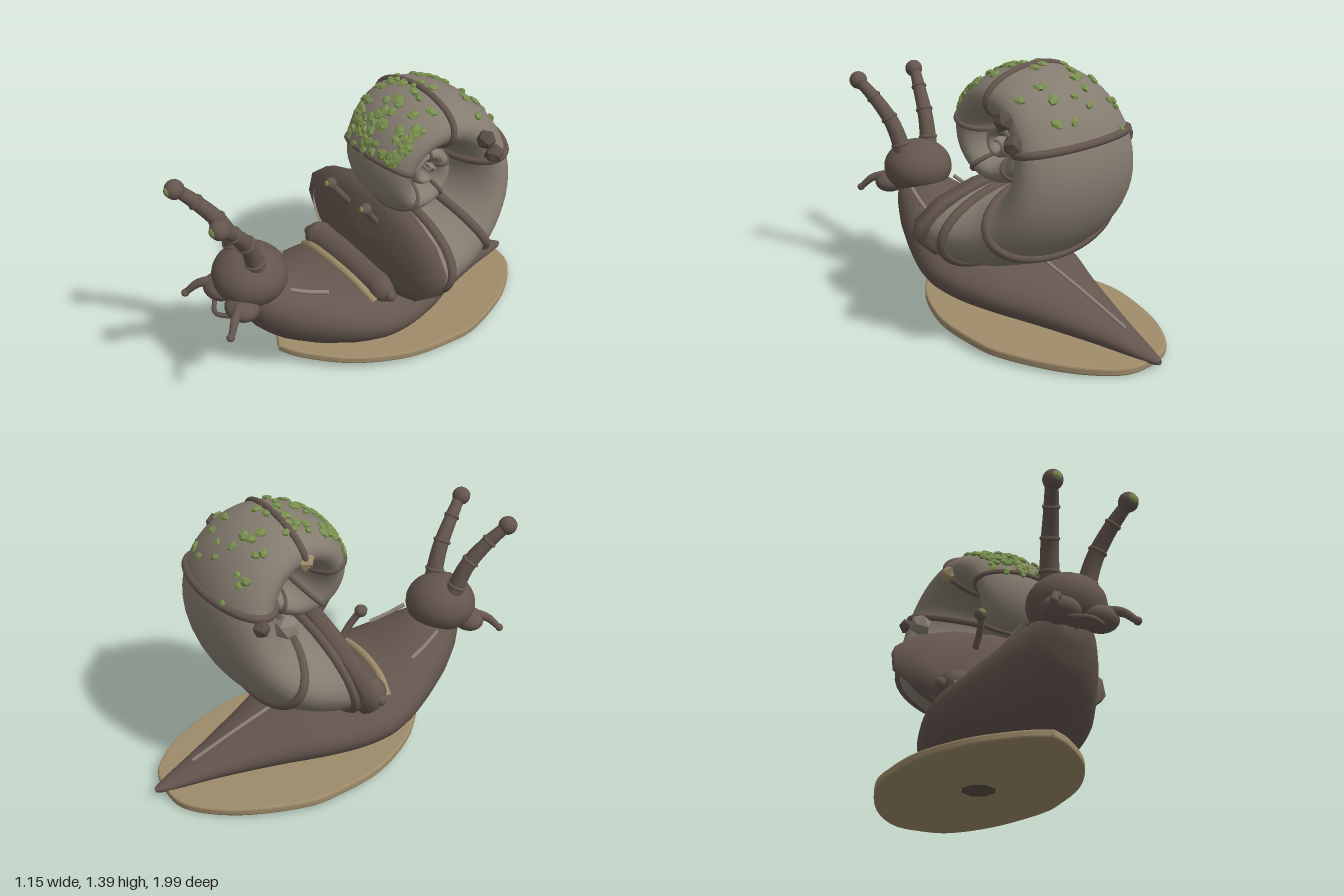
import * as THREE from 'three';
import { mergeGeometries } from 'three/addons/utils/BufferGeometryUtils.js';

const V = (x, y, z) => new THREE.Vector3(x, y, z);
const AX = -0.04; // x of the body's own centre line

// Smooth surface from rings; the ring direction is closed
function loft(fn, nu, nv) {
  const pos = [], idx = [];
  for (let i = 0; i <= nu; i++)
    for (let j = 0; j < nv; j++) {
      const p = fn(i / nu, (j / nv) * Math.PI * 2);
      pos.push(p.x, p.y, p.z);
      if (i === nu) continue;
      const k = (j + 1) % nv, a = i * nv + j, b = a + nv, c = i * nv + k, d = c + nv;
      idx.push(a, b, c, b, d, c);
    }
  const g = new THREE.BufferGeometry();
  g.setAttribute('position', new THREE.Float32BufferAttribute(pos, 3));
  g.setIndex(idx);
  g.computeVertexNormals();
  return g;
}

// Spiral shell surface: t counts quarter turns from the bottom, a goes round the section
function shellPoint(t, a) {
  const R = 0.64 * Math.pow(0.76, t), phi = t * Math.PI / 2;
  const r = R * (0.665 + 0.335 * Math.cos(a));
  return V(0.02 + 0.02 * t + 0.76 * R * Math.sin(a), 1.01 - r * Math.cos(phi), -0.19 - r * Math.sin(phi));
}
function shellNormal(t, a) {
  const e = 0.01, p = shellPoint(t, a);
  return shellPoint(t + e, a).sub(p).cross(shellPoint(t, a + e).sub(p)).normalize();
}

export function createModel() {
  const model = new THREE.Group();
  model.name = 'snail';
  const mat = (name, color, side = THREE.FrontSide) => {
    const m = new THREE.MeshStandardMaterial({ color, side });
    m.name = name;
    return m;
  };
  const skin = mat('brown skin', 0x64564e);
  const shellMat = mat('grey shell', 0x857c70, THREE.DoubleSide);
  const tan = mat('tan sole', 0x9e8b6a);
  const moss = mat('moss green', 0x7a9050);
  const stone = mat('dark stone', 0x5b4e47);
  const pale = mat('pale line', 0x8c8177);

  const add = (name, geo, m, x = 0, y = 0, z = 0) => {
    const o = new THREE.Mesh(geo, m);
    o.name = name;
    o.position.set(x, y, z);
    model.add(o);
    return o;
  };
  const ball = (name, m, r, x, y, z, sx = 1, sy = 1, sz = 1) => {
    const o = add(name, new THREE.SphereGeometry(r, 24, 16), m, x, y, z);
    o.scale.set(sx, sy, sz);
    return o;
  };
  const tube = (name, m, pts, r, seg = 24, closed = false) =>
    add(name, new THREE.TubeGeometry(new THREE.CatmullRomCurve3(pts, closed), seg, r, 8, closed), m);
  // Round tube whose radius runs from r0 to r1
  const taper = (name, m, curve, r0, r1) => {
    const fr = curve.computeFrenetFrames(16);
    add(name, loft((u, v) => {
      const i = Math.round(u * 16), r = r0 + (r1 - r0) * u;
      return curve.getPoint(u)
        .addScaledVector(fr.normals[i], -r * Math.cos(v))
        .addScaledVector(fr.binormals[i], r * Math.sin(v));
    }, 16, 12), m).material.side = THREE.DoubleSide;
  };

  // Body: z, top, bottom, half width
  const rows = [
    [-1.0, 0.065, 0.04, 0.012], [-0.97, 0.08, 0.035, 0.03], [-0.7, 0.19, 0.045, 0.12],
    [-0.4, 0.305, 0.055, 0.24], [-0.2, 0.37, 0.07, 0.34], [0, 0.42, 0.08, 0.4],
    [0.15, 0.46, 0.09, 0.41], [0.3, 0.5, 0.11, 0.37], [0.45, 0.56, 0.15, 0.3],
    [0.6, 0.61, 0.23, 0.22], [0.7, 0.63, 0.33, 0.15], [0.76, 0.6, 0.45, 0.08], [0.77, 0.54, 0.5, 0.01]];
  const edge = new THREE.CatmullRomCurve3(rows.map(r => V(r[1], r[2], r[3])));
  const axis = new THREE.CatmullRomCurve3(rows.map(r => V(0, 0, r[0])));
  add('body', loft((u, v) => {
    const e = edge.getPoint(u);
    return V(AX + e.z * Math.cos(v), (e.x + e.y) / 2 - (e.x - e.y) / 2 * Math.sin(v), axis.getPoint(u).z);
  }, 48, 32), skin);
  tube('tailRidge', pale, [V(AX, 0.355, -0.27), V(AX, 0.265, -0.52), V(AX, 0.158, -0.79)], 0.01);

  // Sole: egg outline with a pointed front, slightly raised at the front
  const half = [[0.12, 0.48], [0.3, 0.3], [0.43, 0.05], [0.47, -0.2], [0.46, -0.4], [0.34, -0.7], [0.17, -0.9]];
  const outline = new THREE.Shape();
  outline.moveTo(0, -0.55);
  outline.splineThru([...half.map(p => new THREE.Vector2(p[0], -p[1])), new THREE.Vector2(0, 0.94),
    ...half.slice().reverse().map(p => new THREE.Vector2(-p[0], -p[1])), new THREE.Vector2(0, -0.55)]);
  const soleGeo = new THREE.ExtrudeGeometry(outline, {
    depth: 0.022, bevelThickness: 0.01, bevelSize: 0.01, bevelSegments: 2, curveSegments: 64 });
  soleGeo.rotateX(-Math.PI / 2);
  add('sole', soleGeo, tan, AX, 0.053, 0).rotation.x = -0.033;
  const pad = add('solePad', new THREE.CylinderGeometry(0.09, 0.09, 0.004, 8), stone, AX, 0.035, -0.2);
  pad.rotation.x = -0.033;

  // Head and face
  ball('head', skin, 1, AX, 0.645, 0.695, 0.19, 0.15, 0.185);
  tube('mouth', skin, [V(AX - 0.09, 0.51, 0.85), V(AX, 0.5, 0.9), V(AX + 0.09, 0.51, 0.85)], 0.012);
  for (const s of [-1, 1]) {
    const X = d => AX + s * d;
    ball('cheek', skin, 1, X(0.1), 0.555, 0.81, 0.095, 0.06, 0.08);
    taper('feeler', skin, new THREE.CatmullRomCurve3(
      [V(X(0.12), 0.59, 0.83), V(X(0.17), 0.57, 0.89), V(X(0.21), 0.515, 0.94)]), 0.027, 0.016);
    ball('feelerTip', skin, 0.02, X(0.21), 0.512, 0.945);
    // Eye stalk with rings and a green pupil
    const stalk = new THREE.CatmullRomCurve3(
      [V(X(0.09), 0.72, 0.7), V(X(0.12), 0.9, 0.76), V(X(0.16), 1.03, 0.85), V(X(0.2), 1.12, 0.93)]);
    taper('eyeStalk', skin, stalk, 0.048, 0.03);
    for (const u of [0.12, 0.4, 0.7]) {
      const ring = add('stalkRing', new THREE.TorusGeometry(0.044 - 0.018 * u, 0.011, 8, 20), skin);
      ring.position.copy(stalk.getPoint(u));
      ring.quaternion.setFromUnitVectors(V(0, 0, 1), stalk.getTangent(u));
    }
    ball('eye', skin, 0.048, X(0.2), 1.125, 0.94);
    ball('pupil', moss, 0.03, X(0.2), 1.125, 0.963);
    // Neck crease and small shoulder knob
    tube('neckCrease', pale, [V(X(0.155), 0.578, 0.57), V(X(0.18), 0.535, 0.48), V(X(0.205), 0.5, 0.38)], 0.011);
    ball('collarKnob', skin, 0.03, X(0.35), 0.43, 0.1);
    ball('collarEnd', skin, 0.08, X(0.27), 0.435, 0.09);
    // Short feelers on the shell door
    tube('doorStalk', skin, [V(X(0.125), 0.7, 0), V(X(0.125), 0.77, 0.05), V(X(0.14), 0.84, 0.1)], 0.018);
    ball('doorKnob', skin, 0.032, X(0.145), 0.845, 0.1);
    ball('doorKnobTip', moss, 0.02, X(0.145), 0.85, 0.115);
  }
  tube('collar', skin, [V(AX - 0.27, 0.435, 0.09), V(AX, 0.45, 0.09), V(AX + 0.27, 0.435, 0.09)], 0.08);
  tube('collarTrim', tan, [V(AX - 0.31, 0.4, 0.17), V(AX - 0.2, 0.455, 0.19), V(AX, 0.48, 0.2),
    V(AX + 0.2, 0.455, 0.19), V(AX + 0.31, 0.4, 0.17)], 0.02);

  // Wide plate closing the shell mouth
  const profile = [[0, -0.03], [0.9, -0.035], [1, -0.025], [1, 0.03], [0.75, 0.06], [0.4, 0.078], [0, 0.085]];
  const door = new THREE.LatheGeometry(profile.map(p => new THREE.Vector2(p[0], p[1])), 14);
  door.scale(0.588, 1, 0.238);
  door.rotateX(Math.PI / 2);
  add('shellDoor', door, skin, 0, 0.6, -0.03).rotation.set(-0.25, -0.07, 0);

  // Shell and its ribs
  add('shell', loft((u, v) => shellPoint(-0.25 + u * 10.25, v), 130, 32), shellMat);
  for (const t of [-0.12, 0.3, 1.1, 1.88, 2.7, 3.5, 4.3, 5.1, 5.9]) {
    const pts = Array.from({ length: 24 }, (_, i) => shellPoint(t, i / 24 * Math.PI * 2));
    tube('shellRib', skin, pts, 0.004 + 0.034 * Math.pow(0.76, t) * 0.64, 64, true);
  }

  // Stones stuck on the shell
  const stones = [[0.4, 1.2, -0.4, 0.05, stone], [0.4, 1.1, -0.46, 0.052, stone], [0.42, 0.67, -0.34, 0.042, pale],
    [-0.21, 1.23, -0.23, 0.052, tan], [-0.31, 0.97, -0.38, 0.062, pale], [-0.33, 1.02, -0.52, 0.045, stone]];
  stones.forEach(([x, y, z, r, m], i) =>
    add('shellStone', new THREE.IcosahedronGeometry(r, 0), m, x, y, z).rotation.set(i, i * 2, i * 0.7));

  // Moss clumps over the top of the shell
  let seed = 7;
  const rnd = () => (seed = (seed * 16807) % 2147483647) / 2147483647;
  const clumps = [];
  for (let i = 0; i < 105; i++) {
    const t = 1.1 + 1.6 * Math.pow(rnd(), 0.75), a = -0.85 + 1.9 * rnd();
    const g = new THREE.DodecahedronGeometry(1, 0);
    const s = 0.018 + 0.013 * rnd();
    g.scale(s * 1.2, s * 0.85, 0.013);
    g.rotateZ(rnd() * 6.28);
    const n = shellNormal(t, a), p = shellPoint(t, a).addScaledVector(n, 0.004);
    g.applyQuaternion(new THREE.Quaternion().setFromUnitVectors(V(0, 0, 1), n));
    g.translate(p.x, p.y, p.z);
    clumps.push(g);
  }
  add('moss', mergeGeometries(clumps), moss);

  return model;
}
